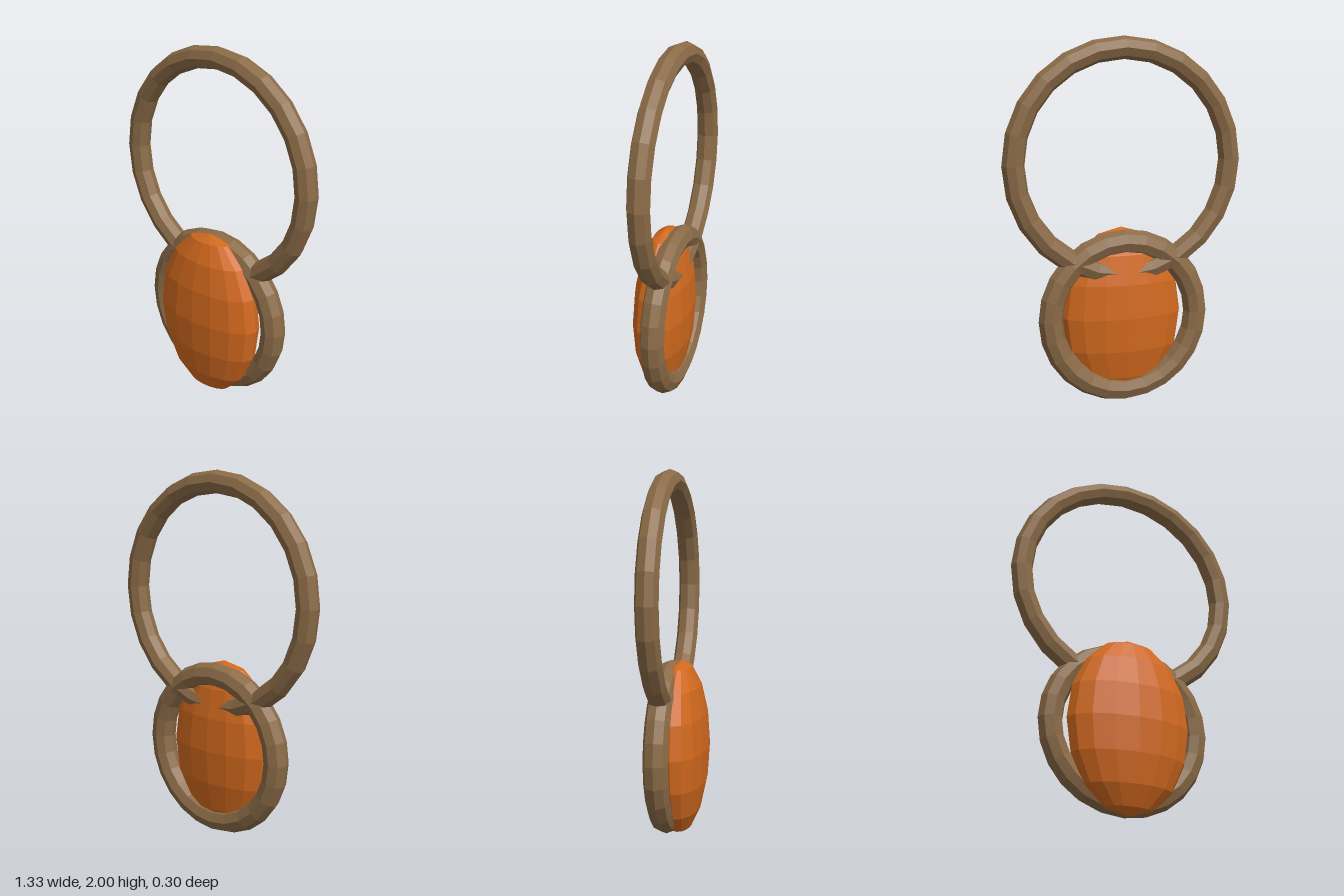
import * as THREE from 'three';

export function createModel() {
  const model = new THREE.Group();
  model.name = 'ringPendant';

  const bronze = new THREE.MeshStandardMaterial({ color: 0x8b6b47, flatShading: true });
  bronze.name = 'bronze';
  const orange = new THREE.MeshStandardMaterial({ color: 0xd2691e, flatShading: true });
  orange.name = 'orange';

  const add = (name, geometry, material, y, z) => {
    const mesh = new THREE.Mesh(geometry, material);
    mesh.name = name;
    mesh.position.set(0, y, z);
    model.add(mesh);
    return mesh;
  };

  // Large upper loop, its lower arc passing through the setting and stone
  add('upperRing', new THREE.TorusGeometry(0.605, 0.061, 8, 24), bronze, 1.334, -0.061);

  // Smaller ring that holds the stone
  add('settingRing', new THREE.TorusGeometry(0.414, 0.067, 8, 24), bronze, 0.487, -0.061);

  // Faceted oval stone
  const stone = new THREE.SphereGeometry(1, 16, 8);
  stone.scale(0.345, 0.486, 0.152);
  add('stone', stone, orange, 0.486, 0);

  return model;
}
